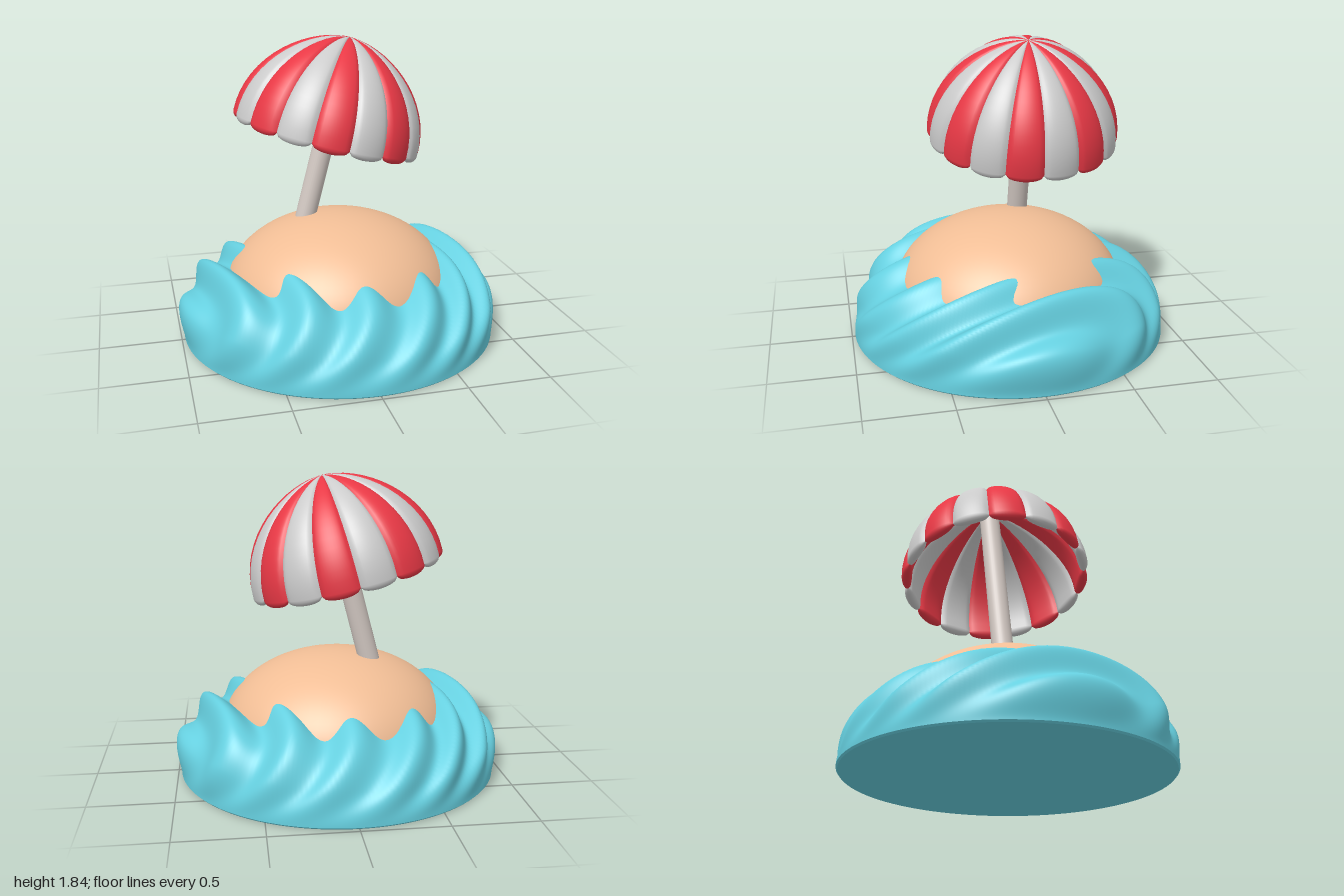
import * as THREE from 'three';

const mat = (color, side = THREE.FrontSide) => new THREE.MeshStandardMaterial({ color, side });

// Smooth surface from a rule: i runs around, j runs down; wrap joins the last column to the first
function surface(nu, nv, wrap, rule) {
  const pos = [], index = [], cols = wrap ? nu : nu + 1;
  for (let j = 0; j <= nv; j++)
    for (let i = 0; i < cols; i++) pos.push(...rule(i / nu, j / nv));
  for (let j = 0; j < nv; j++)
    for (let i = 0; i < nu; i++) {
      const a = j * cols + i, b = j * cols + ((i + 1) % cols);
      index.push(a, b, a + cols, b, b + cols, a + cols);
    }
  const g = new THREE.BufferGeometry();
  g.setAttribute('position', new THREE.Float32BufferAttribute(pos, 3));
  g.setIndex(index);
  g.computeVertexNormals();
  return g;
}

function add(parent, name, geometry, material) {
  const m = new THREE.Mesh(geometry, material);
  m.name = name;
  parent.add(m);
  return m;
}

// Rounded mound of water, swelling at the sides, with parallel ridges that twist with height
function waterPoint(u, v) {
  const a = u * Math.PI * 2, phi = v * Math.PI / 2;
  const r = 0.98 * Math.sqrt(Math.sin(phi)), y = 0.485 * Math.cos(phi);
  const across = Math.abs(r * Math.cos(a + 1.1 * (y - 0.15)));
  const sq = across * across;
  const ridge = -Math.cos(2 * Math.PI * (2.4 * across + 1.25 * sq));
  const w = ((0.05 + 0.03 * sq) * ridge + 0.115 * sq) * THREE.MathUtils.smoothstep(y, 0, 0.2);
  const rr = r + 0.36 * w * Math.sin(phi);
  return [rr * Math.cos(a), y + w * Math.cos(phi) + 0.01, rr * Math.sin(a)];
}

// One puffed canopy panel: outer skin, rounded scalloped rim, inner skin
const PANELS = 16;
function panelGeometry(k) {
  return surface(12, 40, false, (u, v) => {
    const a = (k + u) * Math.PI * 2 / PANELS;
    const s = Math.sqrt(Math.max(0, 1 - (2 * u - 1) ** 2));
    let theta = Math.PI / 2, roll = 0, side = 1;
    if (v < 0.4) theta *= v / 0.4;
    else if (v > 0.6) { theta *= (1 - v) / 0.4; side = -1; }
    else { roll = (v - 0.4) / 0.2 * Math.PI; side = Math.cos(roll); }
    const puff = (0.004 + 0.028 * s) * Math.sin(theta);
    const r = Math.max(0, 0.555 * Math.pow(Math.sin(theta), 1.22) + side * puff * Math.sin(theta));
    const y = -0.59 * (1 - Math.cos(theta)) + side * puff * Math.cos(theta)
      - Math.sin(roll) * (0.005 + 0.035 * s);
    return [r * Math.cos(a), y, r * Math.sin(a)];
  });
}

export function createModel() {
  const model = new THREE.Group();
  model.name = 'beachIsland';

  // Water and its flat underside
  const blue = mat(0x66d0e0);
  add(model, 'water', surface(256, 80, true, waterPoint), blue);
  const base = add(model, 'waterBase', new THREE.CylinderGeometry(0.98, 0.97, 0.012, 96), blue);
  base.position.y = 0.006;

  // Sand dome
  const sand = add(model, 'sand', new THREE.SphereGeometry(1, 64, 24, 0, Math.PI * 2, 0, Math.PI / 2), mat(0xf0bd95));
  sand.scale.set(0.72, 0.5, 0.72);
  sand.position.y = 0.255;

  // Leaning parasol, with its origin at the tip of the canopy
  const parasol = new THREE.Group();
  parasol.name = 'parasol';
  parasol.position.set(0.1, 1.83, -0.1);
  parasol.rotation.z = -0.25;
  model.add(parasol);

  const pole = add(parasol, 'pole', new THREE.CylinderGeometry(0.064, 0.064, 1.36, 32), mat(0xd2c8c2));
  pole.position.y = -0.74;

  const canopy = new THREE.Group();
  canopy.name = 'canopy';
  parasol.add(canopy);
  const red = mat(0xe83845, THREE.DoubleSide), pale = mat(0xcccccc, THREE.DoubleSide);
  for (let k = 0; k < PANELS; k++)
    add(canopy, 'canopyPanel' + (k + 1), panelGeometry(k), k % 2 ? pale : red);

  return model;
}
